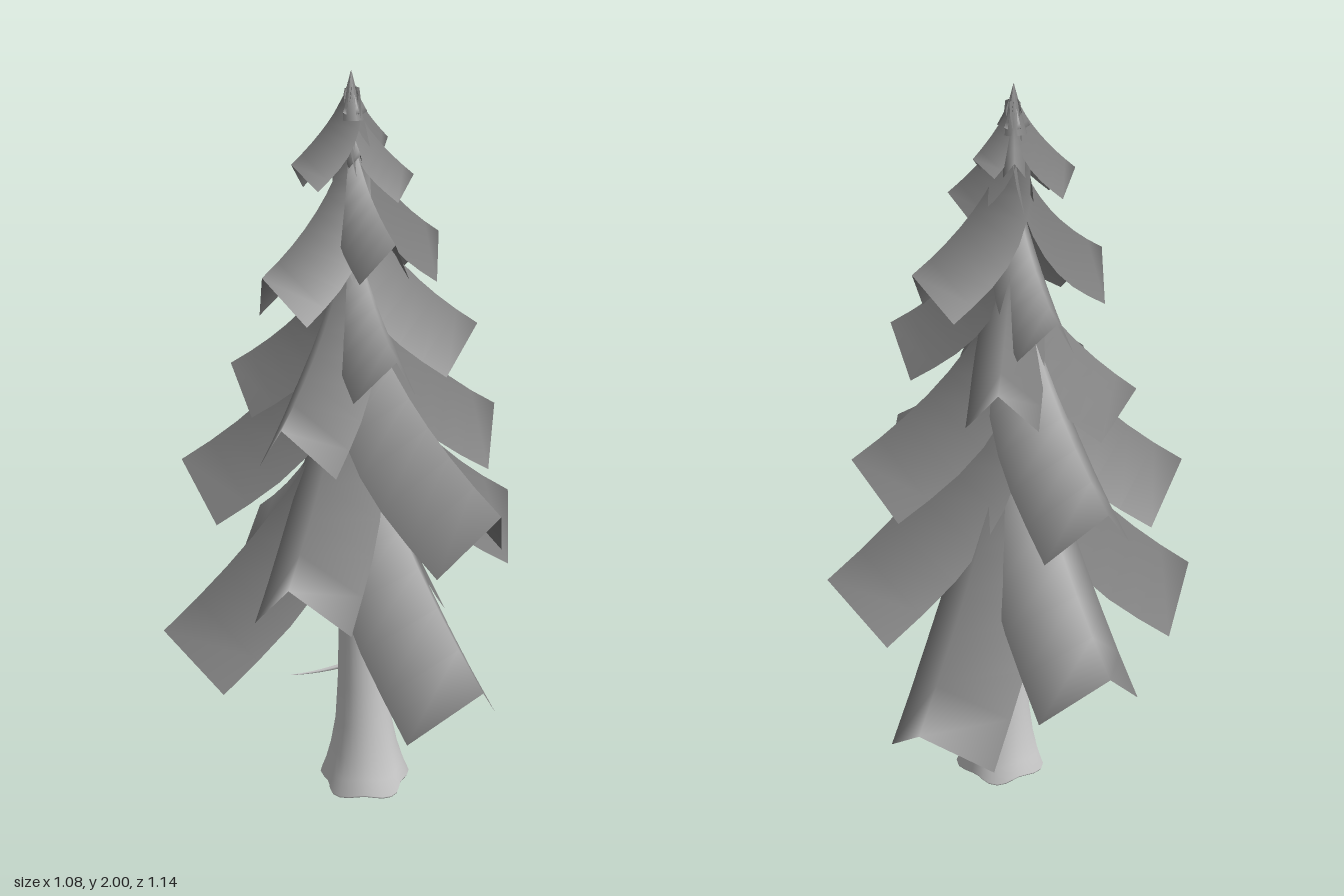
import * as THREE from 'three';

const barkMat = new THREE.MeshStandardMaterial({ color: 0xcccccc });
const leafMat = new THREE.MeshStandardMaterial({ color: 0x808080, side: THREE.DoubleSide });

// Bough tips, lowest tier to crown: [x, y, z, slope at the tip]
const BOUGHS = [
  [-0.54, 0.58, 0, 0.78], [0.54, 0.78, -0.09, 0.63], [-0.06, 0.65, -0.57, 0.65],
  [0.11, 0.54, 0.57, 0.75], [0.40, 0.50, -0.445, 0.8], [-0.33, 0.82, 0.38, 0.65],
  [0.20, 0.96, 0.47, 0.6], [-0.43, 1.0, -0.14, 0.6], [0.445, 1.08, -0.02, 0.58],
  [-0.08, 1.06, -0.475, 0.6], [0.14, 1.33, -0.30, 0.6], [-0.275, 1.24, -0.17, 0.6],
  [-0.30, 1.19, 0.27, 0.6], [0.285, 1.37, 0.16, 0.6], [-0.01, 1.335, 0.30, 0.6],
  [0.28, 1.57, -0.06, 0.6], [-0.285, 1.53, 0.115, 0.55], [-0.02, 1.48, -0.265, 0.6],
  [0.01, 1.61, 0.245, 0.55], [-0.165, 1.78, 0.01, 0.8], [0.16, 1.74, 0.03, 0.8],
  [0.11, 1.83, -0.02, 0.9], [0.03, 1.83, -0.095, 0.9], [0, 1.80, 0.06, 0.9],
];

// A bough is a drooping strip with an inverted V section, cut square at its tip
function bough([x, y, z, slope]) {
  const r = Math.hypot(x, z);
  const out = new THREE.Vector3(x / r, 0, z / r);
  const side = new THREE.Vector3(out.z, 0, -out.x);
  const small = Math.min(1, 0.45 + r * 2);
  const halfWidth = (0.02 + 0.215 * r) * small;
  const droop = (0.07 + 0.22 * r) * small;
  const rise = Math.min(r * (0.65 + 0.6 * slope), 1.99 - y);
  const spine = new THREE.QuadraticBezierCurve(
    new THREE.Vector2(0.04 * r, y + rise),
    new THREE.Vector2(0.28 * r, y + 0.72 * r * slope),
    new THREE.Vector2(r, y));
  const pos = [], index = [], steps = 8;
  for (let i = 0; i <= steps; i++) {
    const t = i / steps;
    const p = spine.getPoint(t), d = spine.getTangent(t);
    const grow = 0.3 + 0.7 * Math.sin(Math.min(1, t * 1.3) * Math.PI / 2);
    for (const s of [-1, 0, 1]) {
      const drop = Math.abs(s) * droop * grow;
      const v = out.clone().multiplyScalar(p.x + d.y * drop)
        .addScaledVector(side, s * halfWidth * grow);
      pos.push(v.x, p.y - d.x * drop, v.z);
    }
    if (i < steps) for (const k of [0, 1]) {
      const a = i * 3 + k;
      index.push(a, a + 3, a + 1, a + 1, a + 3, a + 4);
    }
  }
  const g = new THREE.BufferGeometry();
  g.setAttribute('position', new THREE.Float32BufferAttribute(pos, 3));
  g.setIndex(index);
  g.computeVertexNormals();
  return new THREE.Mesh(g, leafMat);
}

// Tapered trunk with a lobed root flare, leaning back to the centre line
function trunk() {
  const profile = [[0, 0], [0.12, 0], [0.122, 0.005], [0.108, 0.05], [0.094, 0.11], [0.08, 0.2],
    [0.071, 0.32], [0.064, 0.5], [0.055, 0.8], [0.042, 1.2], [0.025, 1.6], [0.004, 1.96]];
  const g = new THREE.LatheGeometry(profile.map(p => new THREE.Vector2(...p)), 32);
  const p = g.attributes.position;
  for (let i = 0; i < p.count; i++) {
    const x = p.getX(i), y = p.getY(i), z = p.getZ(i);
    const flare = 1 + 0.1 * Math.max(0, 1 - y / 0.2) * Math.sin(5 * Math.atan2(z, x) + 1);
    const lean = 1 - y / 2;
    p.setXYZ(i, x * flare + 0.034 * lean, y, z * flare + 0.02 * lean);
  }
  return new THREE.Mesh(g, barkMat);
}

// Dead twig: a bent tube narrowing to a point
function twig(from, tip) {
  const a = new THREE.Vector3(...from), b = new THREE.Vector3(...tip);
  const mid = a.clone().lerp(b, 0.5);
  mid.y -= 0.012;
  const curve = new THREE.QuadraticBezierCurve3(a, mid, b);
  const rings = 8, sides = 6;
  const g = new THREE.TubeGeometry(curve, rings, 0.009, sides);
  const p = g.attributes.position, v = new THREE.Vector3();
  for (let i = 0; i < p.count; i++) {
    const t = Math.floor(i / (sides + 1)) / rings;
    const c = curve.getPointAt(t);
    v.fromBufferAttribute(p, i).sub(c).multiplyScalar(1 - 0.9 * t).add(c);
    p.setXYZ(i, v.x, v.y, v.z);
  }
  return new THREE.Mesh(g, barkMat);
}

export function createModel() {
  const tree = new THREE.Group();
  tree.name = 'coniferTree';
  const add = (mesh, name) => { mesh.name = name; tree.add(mesh); };

  add(trunk(), 'trunk');
  BOUGHS.forEach((b, i) => add(bough(b), 'bough' + (i + 1)));

  // Pointed crown of small leaves
  for (let i = 0; i < 6; i++) {
    const a = i * Math.PI / 3 + 0.4;
    add(bough([0.04 * Math.cos(a), 1.9, 0.04 * Math.sin(a), 1.8]), 'crownLeaf' + (i + 1));
  }
  const point = new THREE.Mesh(new THREE.ConeGeometry(0.035, 0.12, 8, 1, true), leafMat);
  point.position.y = 1.94;
  add(point, 'crownPoint');

  add(twig([0, 0.37, 0], [-0.16, 0.335, -0.06]), 'twigLeft');
  add(twig([0.05, 0.3, -0.02], [0.165, 0.265, -0.11]), 'twigBack');
  add(twig([0.03, 0.46, 0.05], [0.03, 0.43, 0.21]), 'twigFront');
  add(twig([0.06, 0.53, 0.02], [0.145, 0.515, 0.02]), 'twigRight');
  return tree;
}
